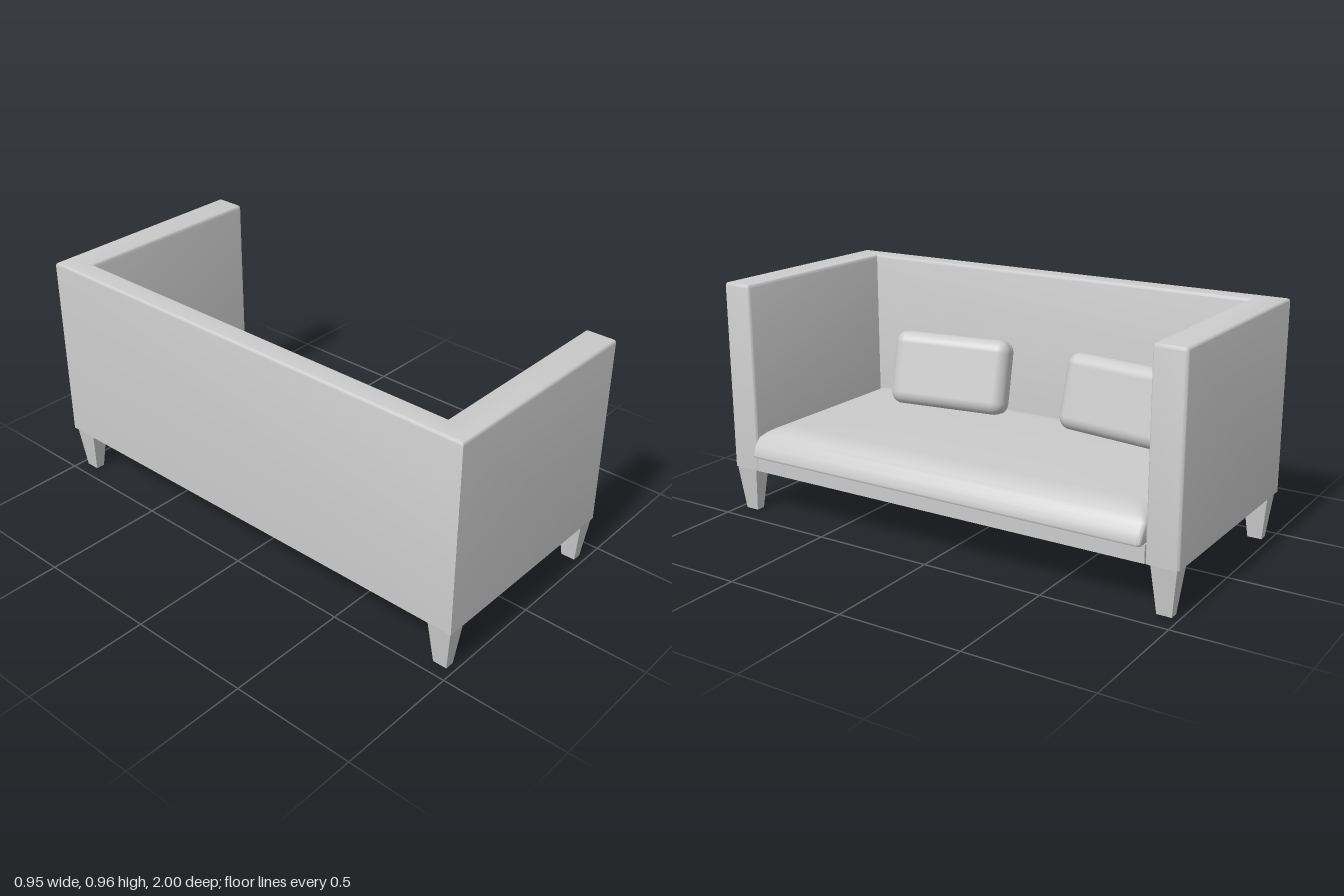
import * as THREE from 'three';
import { toCreasedNormals } from 'three/addons/utils/BufferGeometryUtils.js';
import { RoundedBoxGeometry } from 'three/addons/geometries/RoundedBoxGeometry.js';

const material = new THREE.MeshStandardMaterial({ color: 0xcccccc });
const BOTTOM = 0.185, TOP = 0.955, BACK = -0.475, FRONT = 0.438;
const INNER_BACK = -0.385, INNER_Z = 0.873;

function add(parent, name, geometry, x = 0, y = 0, z = 0) {
  const mesh = new THREE.Mesh(geometry, material);
  mesh.name = name;
  mesh.position.set(x, y, z);
  parent.add(mesh);
  return mesh;
}

// U-shaped back and arms, softly rounded on top, flat underneath
function frameGeometry() {
  const s = new THREE.Shape(), r = 0.014, bevel = 0.012;
  s.moveTo(BACK, -1);
  s.lineTo(FRONT - r, -1);
  s.quadraticCurveTo(FRONT, -1, FRONT, -1 + r);
  s.lineTo(FRONT, -INNER_Z - r);
  s.quadraticCurveTo(FRONT, -INNER_Z, FRONT - r, -INNER_Z);
  s.lineTo(INNER_BACK, -INNER_Z);
  s.lineTo(INNER_BACK, INNER_Z);
  s.lineTo(FRONT - r, INNER_Z);
  s.quadraticCurveTo(FRONT, INNER_Z, FRONT, INNER_Z + r);
  s.lineTo(FRONT, 1 - r);
  s.quadraticCurveTo(FRONT, 1, FRONT - r, 1);
  s.lineTo(BACK, 1);
  s.closePath();
  const g = new THREE.ExtrudeGeometry(s, {
    depth: TOP - BOTTOM - 2 * bevel, bevelThickness: bevel, bevelSize: bevel,
    bevelOffset: -bevel, bevelSegments: 3, curveSegments: 4,
  });
  g.rotateX(-Math.PI / 2);
  g.translate(0, BOTTOM + bevel, 0);
  // flatten the lower bevel so the bottom edge is sharp
  const p = g.attributes.position;
  for (let i = 0; i < p.count; i++) {
    if (p.getY(i) < BOTTOM + bevel + 0.001) p.setY(i, BOTTOM);
  }
  return toCreasedNormals(g, 0.7);
}

// Seat cushion: stacked rounded rectangles [y, back x, front x, half z, corner radius]
function cushionGeometry() {
  const rings = [
    [0.255, -0.38, 0.470, 0.868, 0.015],
    [0.263, -0.383, 0.473, 0.871, 0.015],
    [0.300, -0.383, 0.460, 0.871, 0.015],
    [0.330, -0.382, 0.438, 0.868, 0.018],
    [0.347, -0.372, 0.418, 0.850, 0.022],
    [0.360, -0.357, 0.395, 0.827, 0.028],
    [0.368, -0.335, 0.365, 0.800, 0.035],
    [0.370, -0.300, 0.330, 0.765, 0.035],
  ];
  const steps = 4, n = 4 * (steps + 1), pos = [], index = [];
  for (const [y, x0, x1, hz, r] of rings) {
    for (let c = 0; c < 4; c++) {
      const cx = c === 0 || c === 3 ? x1 - r : x0 + r;
      const cz = c < 2 ? hz - r : r - hz;
      for (let k = 0; k <= steps; k++) {
        const t = (c + k / steps) * Math.PI / 2;
        pos.push(cx + r * Math.cos(t), y, cz + r * Math.sin(t));
      }
    }
  }
  const last = (rings.length - 1) * n, low = rings.length * n, high = low + 1;
  pos.push(0.04, rings[0][0], 0, 0.02, 0.371, 0);
  for (let k = 0; k < n; k++) {
    const m = (k + 1) % n;
    for (let i = 0; i < rings.length - 1; i++) {
      const a = i * n + k, b = i * n + m;
      index.push(a, a + n, b, b, a + n, b + n);
    }
    index.push(high, last + m, last + k, low, k, m);
  }
  const g = new THREE.BufferGeometry();
  g.setAttribute('position', new THREE.Float32BufferAttribute(pos, 3));
  g.setIndex(index);
  return toCreasedNormals(g, 0.75);
}

// Square-sided leg narrowing to the floor
function legGeometry() {
  const g = new THREE.BoxGeometry(0.074, BOTTOM, 0.1);
  const p = g.attributes.position;
  for (let i = 0; i < p.count; i++) {
    if (p.getY(i) < 0) {
      p.setX(i, p.getX(i) * 0.5);
      p.setZ(i, p.getZ(i) * 0.58);
    }
  }
  g.computeVertexNormals();
  return g;
}

// Plump pillow, slightly thinner towards its rim
function pillowGeometry() {
  const g = new RoundedBoxGeometry(0.13, 0.315, 0.53, 5, 0.052);
  const p = g.attributes.position;
  for (let i = 0; i < p.count; i++) {
    const v = Math.abs(p.getY(i)) / 0.1575, w = Math.abs(p.getZ(i)) / 0.265;
    p.setX(i, p.getX(i) * (1 - 0.08 * Math.max(v, w) ** 4));
  }
  return g;
}

export function createModel() {
  const sofa = new THREE.Group();
  sofa.name = 'sofa';

  add(sofa, 'backAndArms', frameGeometry());

  // base between the arms
  const baseLength = FRONT - INNER_BACK;
  add(sofa, 'base', new THREE.BoxGeometry(baseLength, 0.07, 2 * INNER_Z),
    (FRONT + INNER_BACK) / 2, BOTTOM + 0.035, 0);

  add(sofa, 'seatCushion', cushionGeometry());

  // legs at the four corners
  const leg = legGeometry();
  for (const x of [-0.428, 0.395]) {
    for (const side of [-1, 1]) {
      add(sofa, x > 0 ? 'frontLeg' : 'backLeg', leg, x, BOTTOM / 2, side * 0.942);
    }
  }

  // two pillows leaning back and turned towards the middle
  const pillow = pillowGeometry();
  for (const [side, z] of [[1, 0.39], [-1, 0.418]]) {
    const mesh = add(sofa, 'pillow', pillow, -0.26, 0.515, side * z);
    mesh.rotation.set(0, side * 0.14, 0.24, 'YXZ');
  }

  return sofa;
}
